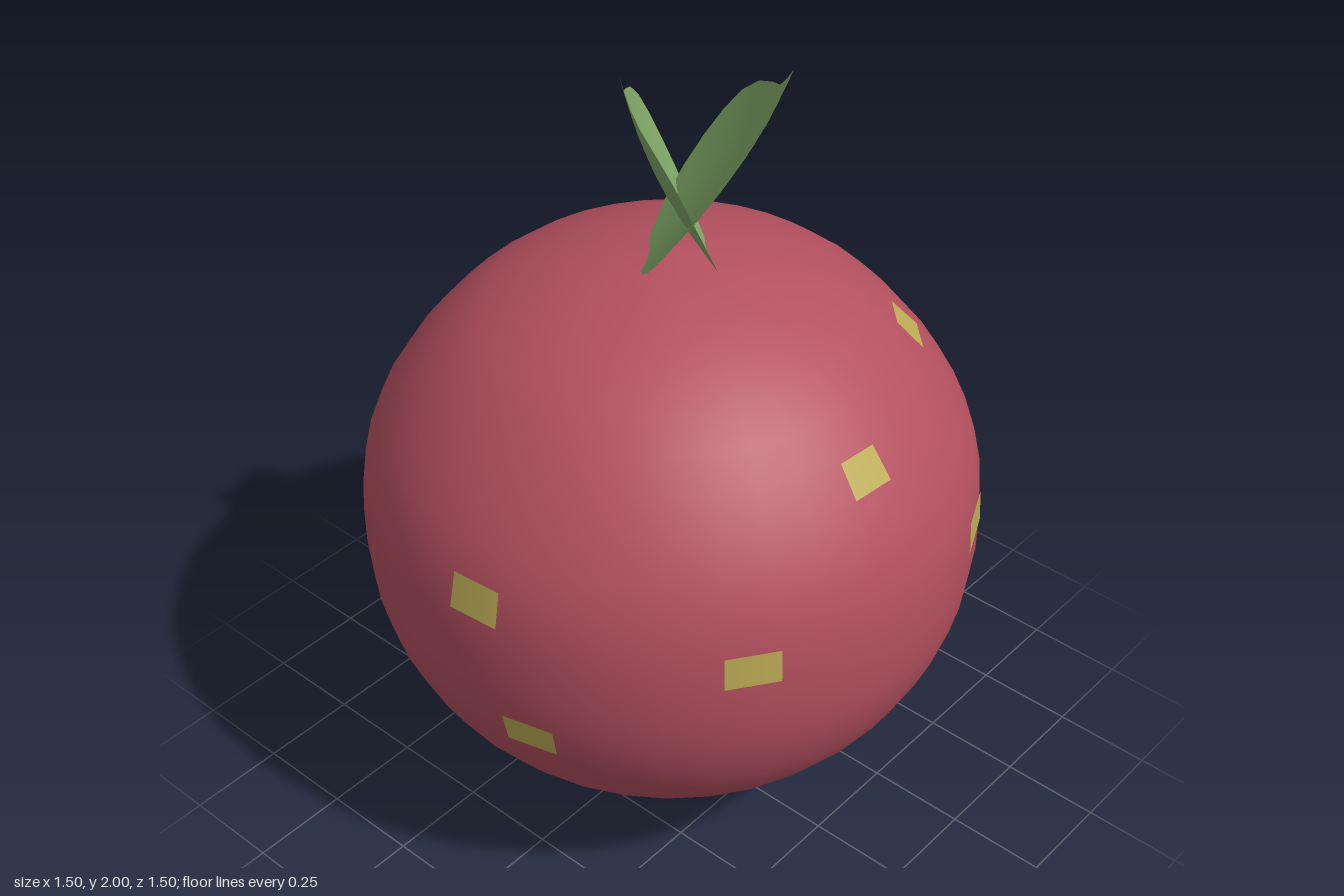
import * as THREE from 'three';

const COLS = 36;
const STEP = (Math.PI * 2) / COLS;

// fruit profile: [radius, height], bottom to top
const PROFILE = [
  [0, 0.05], [0.06, 0.06], [0.12, 0.08], [0.2, 0.11], [0.27, 0.14], [0.34, 0.175],
  [0.43, 0.23], [0.52, 0.3], [0.585, 0.365], [0.64, 0.435], [0.685, 0.515], [0.72, 0.6],
  [0.74, 0.685], [0.75, 0.775], [0.75, 0.865], [0.745, 0.95], [0.725, 1.04], [0.69, 1.12],
  [0.64, 1.2], [0.585, 1.27], [0.52, 1.34], [0.445, 1.4], [0.35, 1.45], [0.25, 1.49],
  [0.13, 1.52], [0, 1.535],
];

// seed cells: [column around the fruit, lower profile ring]
const SEEDS = [
  [0, 15], [1, 11], [1, 7], [0, 4], [-7, 13], [5, 14], [8, 18], [11, 14], [13, 13],
  [10, 9], [8, 5], [15, 7], [13, 19], [14, 4], [19, 5], [-12, 20], [-9, 16],
];

// leaf outline: [fraction of length, half width]
const OUTLINE = [
  [0, 0.03], [0.06, 0.1], [0.15, 0.16], [0.28, 0.2], [0.42, 0.22], [0.56, 0.222],
  [0.68, 0.205], [0.77, 0.165], [0.835, 0.1], [0.88, 0.045], [0.94, 0.018], [1, 0.002],
];

const material = (color, side = THREE.FrontSide) =>
  new THREE.MeshStandardMaterial({ color, side, roughness: 0.8 });

const toPoints = (list, grow = 0) => list.map(([r, y]) => new THREE.Vector2(r + grow, y));

// curved leaf running from base to tip, its edges cupped towards one side
function makeLeaf(name, base, tip, yaw, cup, mat) {
  const across = new THREE.Vector3(Math.sin(yaw), 0, Math.cos(yaw));
  const cupDir = new THREE.Vector3(Math.cos(yaw), 0, -Math.sin(yaw));
  const cells = 8;
  const geo = new THREE.PlaneGeometry(2, 1, cells, OUTLINE.length - 1);
  const pos = geo.attributes.position;
  const p = new THREE.Vector3();
  for (let i = 0; i < pos.count; i++) {
    const s = pos.getX(i);
    const [t, half] = OUTLINE[Math.floor(i / (cells + 1))];
    const edge = s * half;
    p.lerpVectors(base, tip, t)
      .addScaledVector(across, edge)
      .addScaledVector(cupDir, cup * (edge / 0.22) ** 2 - Math.sign(cup) * 0.03 * Math.sin(Math.PI * t));
    pos.setXYZ(i, p.x, p.y, p.z);
  }
  geo.computeVertexNormals();
  const leaf = new THREE.Mesh(geo, mat);
  leaf.name = name;
  return leaf;
}

export function createModel() {
  const model = new THREE.Group();
  model.name = 'fruit';
  const red = material(0xb4505f);
  const yellow = material(0xbcab55);
  const green = material(0x7ea565, THREE.DoubleSide);

  // round body
  const body = new THREE.Mesh(new THREE.LatheGeometry(toPoints(PROFILE), COLS), red);
  body.name = 'body';
  model.add(body);

  // fine root tip under the body
  const root = new THREE.Mesh(new THREE.ConeGeometry(0.004, 0.06, 6), red);
  root.name = 'rootTip';
  root.rotation.x = Math.PI;
  root.position.y = 0.03;
  model.add(root);

  // seeds lying flush on the skin
  const seeds = new THREE.Group();
  seeds.name = 'seeds';
  for (const [col, ring] of SEEDS) {
    const strip = toPoints(PROFILE.slice(ring, ring + 2), 0.003);
    const seed = new THREE.Mesh(new THREE.LatheGeometry(strip, 1, col * STEP, STEP), yellow);
    seed.name = 'seed';
    seeds.add(seed);
  }
  model.add(seeds);

  // two crossing leaves
  const deg = Math.PI / 180;
  model.add(
    makeLeaf('leftLeaf', new THREE.Vector3(-0.04, 1.51, 0.06), new THREE.Vector3(0.215, 2, -0.15), 35 * deg, -0.05, green),
    makeLeaf('rightLeaf', new THREE.Vector3(0.07, 1.51, -0.06), new THREE.Vector3(-0.115, 1.94, 0.04), 52 * deg, 0.04, green),
  );
  return model;
}
